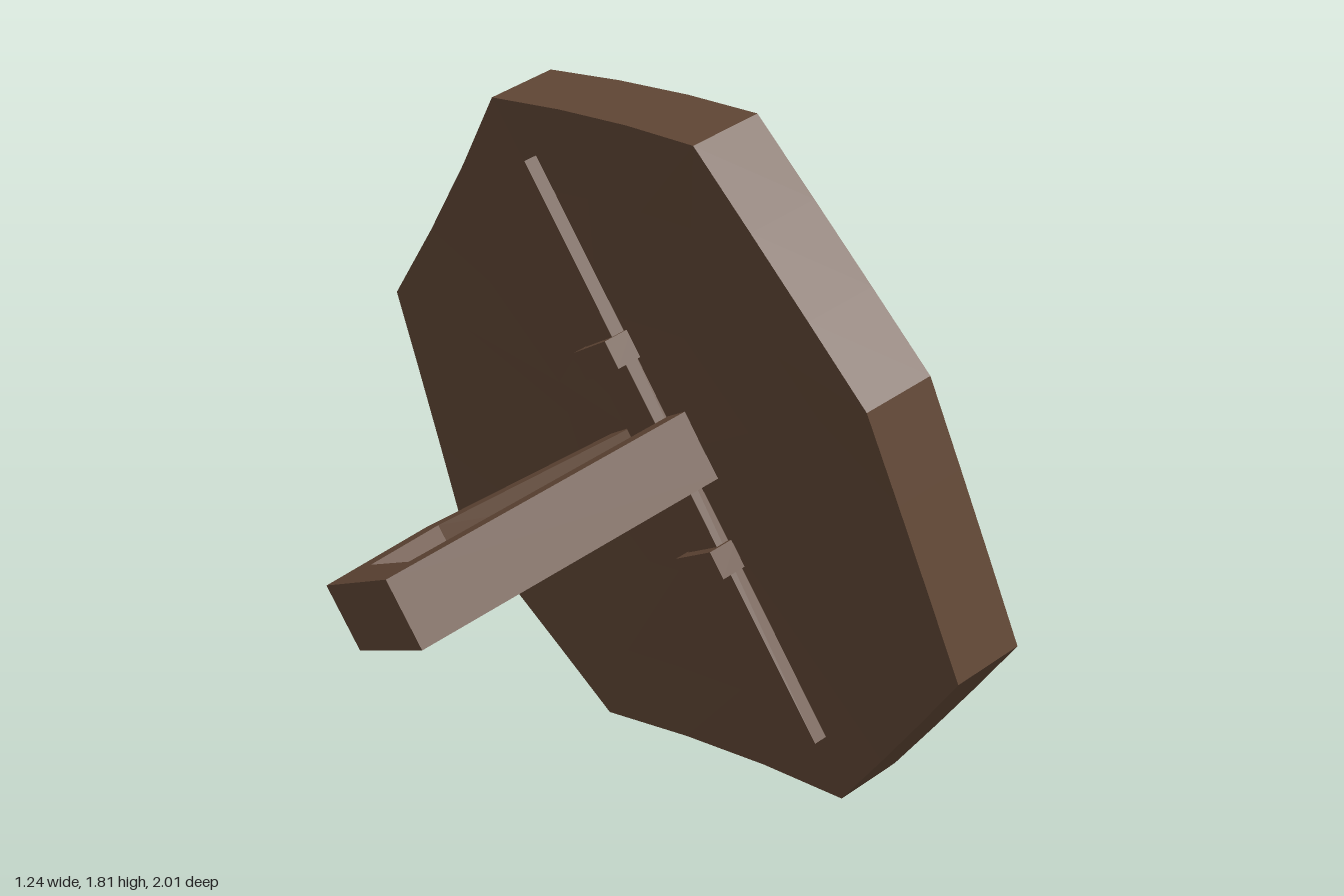
import * as THREE from 'three';

// Local frame: x = out of the shield face, y = short axis, z = long axis
const wood = new THREE.MeshStandardMaterial({ color: 0x654a38, flatShading: true, roughness: 0.9 });

function add(parent, name, geometry, x = 0, y = 0, z = 0) {
  const mesh = new THREE.Mesh(geometry, wood);
  mesh.name = name;
  mesh.position.set(x, y, z);
  parent.add(mesh);
  return mesh;
}

// Octagon outline as [z, y] points, each edge split so that it can follow the bend
function octagon(endY, midZ, midY, endZ, split = 3) {
  const corners = [[0, endY], [midZ, midY], [endZ, 0], [midZ, -midY],
    [0, -endY], [-midZ, -midY], [-endZ, 0], [-midZ, midY]];
  return corners.flatMap(([z, y], i) => {
    const [z2, y2] = corners[(i + 1) % 8];
    return Array.from({ length: split }, (_, k) => [z + (z2 - z) * k / split, y + (y2 - y) * k / split]);
  });
}

// Loft through rings of { outline, scale, x }, bent backward along the long axis
function bentLoft(rings) {
  const count = rings[0].outline.length;
  const position = [], index = [];
  for (const { outline, scale, x } of rings) {
    for (const [z, y] of outline) position.push(x - 0.104 * (z * scale) ** 2, y * scale, z * scale);
  }
  for (let i = 0; i < rings.length - 1; i++) {
    for (let j = 0; j < count; j++) {
      const a = i * count + j, b = i * count + (j + 1) % count;
      index.push(a, b, b + count, a, b + count, a + count);
    }
  }
  const geometry = new THREE.BufferGeometry();
  geometry.setAttribute('position', new THREE.Float32BufferAttribute(position, 3));
  geometry.setIndex(index);
  geometry.computeVertexNormals();
  return geometry;
}

export function createModel() {
  const model = new THREE.Group();
  model.name = 'shield';
  const shield = new THREE.Group();
  shield.name = 'tiltedShield';
  shield.rotation.set(-0.434, 0.1, 0.262, 'ZYX');
  shield.position.set(0.375, 0.918, 0);
  model.add(shield);

  // Body: back, thick rim, recess wall and domed front panel in one loft
  const outer = octagon(0.914, 0.82, 0.613, 1.03);
  const inner = octagon(0.75, 0.75, 0.55, 0.912);
  const dome = [1, 0.75, 0.5, 0.25, 0].map(scale =>
    ({ outline: inner, scale, x: -0.04 + 0.055 * (1 - scale * scale) }));
  add(shield, 'body', bentLoft([
    ...[0, 0.4, 0.75, 1].map(scale => ({ outline: outer, scale, x: -0.17 })),
    { outline: outer, scale: 1, x: 0 },
    { outline: inner, scale: 1, x: 0 },
    ...dome,
  ]));

  // Low boss in the middle of the front panel
  const profile = [[0.21, -0.03], [0.2, 0.01], [0.15, 0.04], [0.08, 0.055], [0, 0.058]];
  const boss = new THREE.LatheGeometry(profile.map(([r, h]) => new THREE.Vector2(r, h)), 8, Math.PI / 8);
  boss.rotateZ(-Math.PI / 2).scale(1, 0.85, 1);
  add(shield, 'boss', boss);

  // Plank across the back with two retaining blocks
  add(shield, 'backPlank', new THREE.BoxGeometry(0.05, 1.5, 0.14), -0.18);
  for (const side of [-1, 1]) {
    add(shield, 'backBlock', new THREE.BoxGeometry(0.08, 0.07, 0.17), -0.195, side * 0.27, 0);
  }

  // Bent loop handle, open toward the shield
  const loop = new THREE.Shape([
    [-0.14, 0.17], [-1.0, 0.17], [-0.94, -0.35], [-0.63, -0.41], [-0.14, -0.19],
    [-0.14, -0.09], [-0.64, -0.31], [-0.85, -0.27], [-0.9, 0.08], [-0.14, 0.08],
  ].map(([x, z]) => new THREE.Vector2(x, z)));
  const handle = new THREE.ExtrudeGeometry(loop, { depth: 0.17, bevelEnabled: false });
  handle.translate(0, 0, -0.085).rotateX(Math.PI / 2);
  add(shield, 'handle', handle);

  return model;
}
